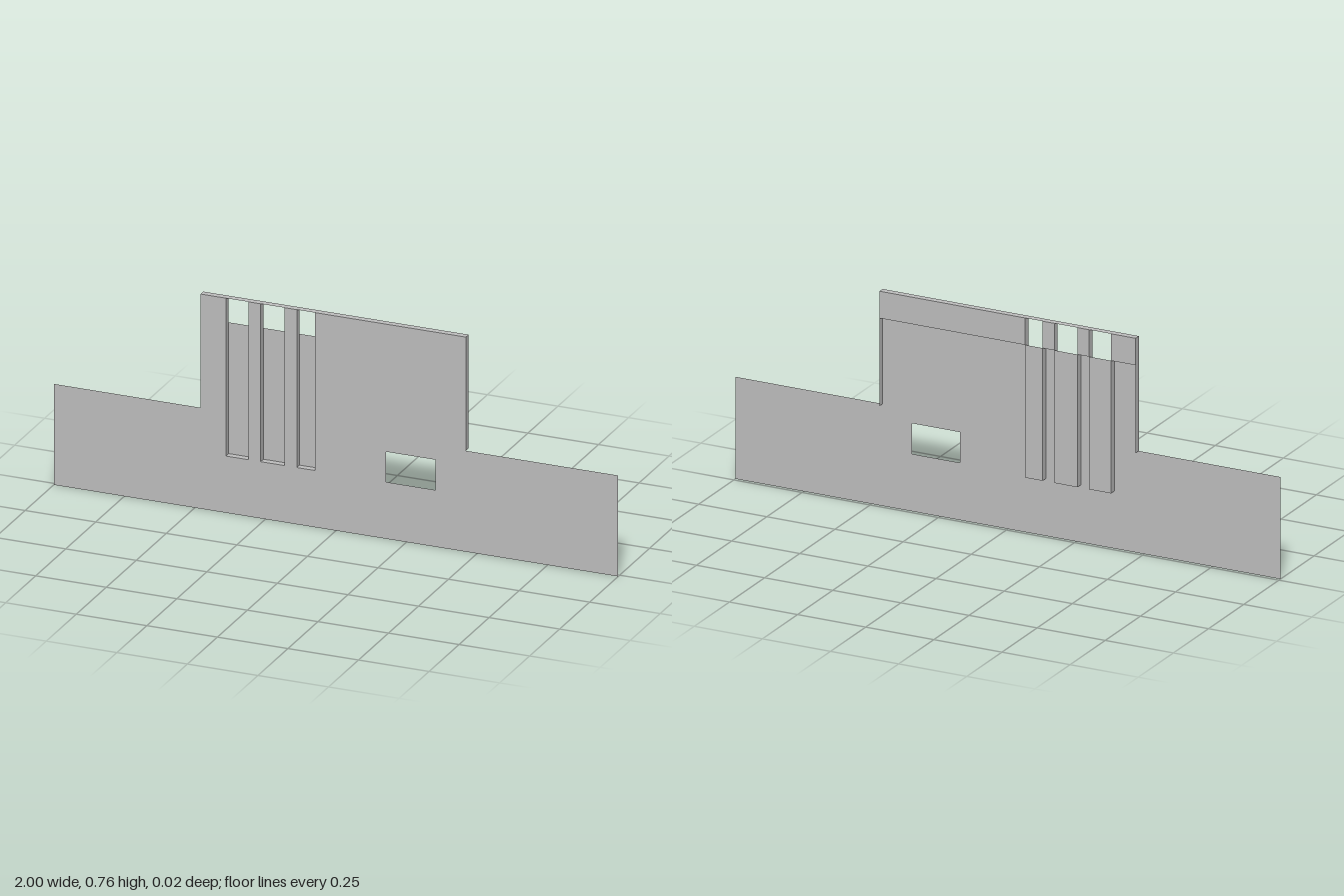
import * as THREE from 'three';

// Main levels and depths
const ZF = 0.0115, ZB = -0.0115;
const SILL = 0.356, BAND = 0.663, TOP = 0.757, SLOT_Y = 0.2;
const LEFT = -0.48, RIGHT = 0.46;
const SLOTS = [[-0.39, -0.31], [-0.267, -0.182], [-0.139, -0.075]];

export function createModel() {
  const group = new THREE.Group();
  const wall = new THREE.MeshStandardMaterial({ color: 0xbebebe, side: THREE.DoubleSide });
  wall.name = 'wall grey';

  const add = (name, geometry, parent = group) => {
    const mesh = new THREE.Mesh(geometry, wall);
    mesh.name = name;
    parent.add(mesh);
    return mesh;
  };
  // Upright panel facing the front or back
  const panel = (name, x0, x1, y0, y1, z, parent) => {
    const g = new THREE.PlaneGeometry(x1 - x0, y1 - y0);
    if (z < 0) g.rotateY(Math.PI);
    return add(name, g.translate((x0 + x1) / 2, (y0 + y1) / 2, z), parent);
  };
  // Narrow side wall across the depth; dir is the side it faces
  const side = (name, x, y0, y1, dir, parent) =>
    add(name, new THREE.PlaneGeometry(ZF - ZB, y1 - y0)
      .rotateY(dir * Math.PI / 2).translate(x, (y0 + y1) / 2, 0), parent);
  // Level strip across the depth
  const ledge = (name, x0, x1, y, parent) =>
    add(name, new THREE.PlaneGeometry(x1 - x0, ZF - ZB)
      .rotateX(-Math.PI / 2).translate((x0 + x1) / 2, y, 0), parent);

  // Front sheet: stepped outline, notched by the slots, with one window opening
  const outline = [[-1, 0], [1, 0], [1, SILL], [RIGHT, SILL], [RIGHT, TOP]];
  for (const [a, b] of [...SLOTS].reverse())
    outline.push([b, TOP], [b, SLOT_Y], [a, SLOT_Y], [a, TOP]);
  outline.push([LEFT, TOP], [LEFT, SILL], [-1, SILL]);
  const toPoints = list => list.map(([x, y]) => new THREE.Vector2(x, y));
  const sheet = new THREE.Shape(toPoints(outline));
  sheet.holes.push(new THREE.Path(toPoints(
    [[0.177, 0.2], [0.177, 0.307], [0.353, 0.307], [0.353, 0.2]])));
  add('frontSheet', new THREE.ShapeGeometry(sheet).translate(0, 0, ZF));

  // Top cap and end walls of the raised part
  ledge('topCap', LEFT, RIGHT, TOP);
  side('leftEndWall', RIGHT, SILL, TOP, 1);
  side('rightEndWall', LEFT, SILL, TOP, -1);

  // Recessed slots, open through the back above the band line
  for (const [a, b] of SLOTS) {
    const slot = new THREE.Group();
    slot.name = 'slot';
    panel('slotBack', a, b, SLOT_Y, BAND, ZB, slot);
    side('slotSide', a, SLOT_Y, TOP, 1, slot);
    side('slotSide', b, SLOT_Y, TOP, -1, slot);
    ledge('slotFloor', a, b, SLOT_Y, slot);
    group.add(slot);
  }

  // Back band, in pieces between the slot openings
  const edges = [LEFT, ...SLOTS.flat(), RIGHT];
  for (let i = 0; i < edges.length; i += 2)
    panel('backBand', edges[i], edges[i + 1], BAND, TOP, ZB);

  return group;
}
